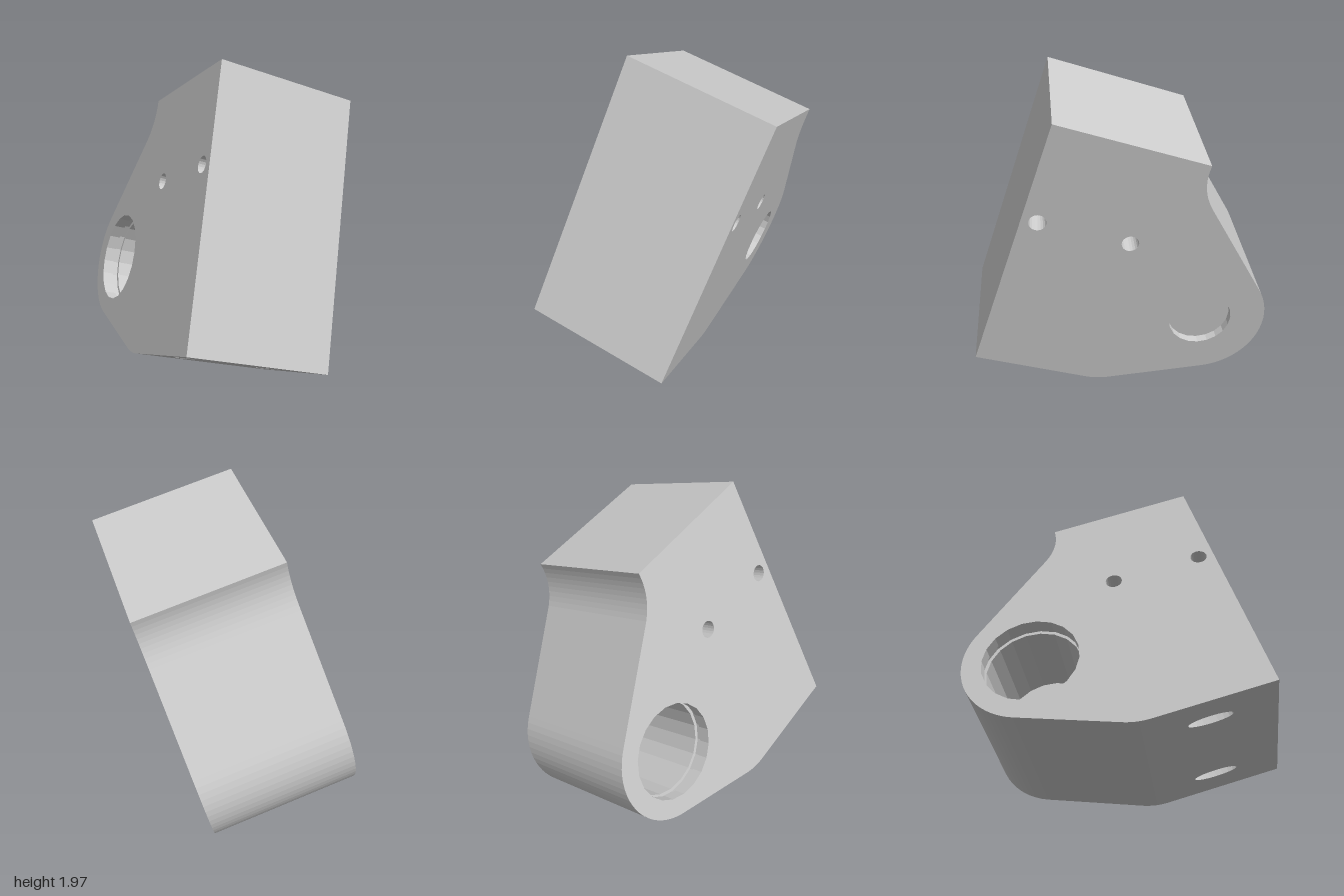
import * as THREE from 'three';

const W = 0.893;   // thickness of the block
const H = 1.645;   // height of the front face
const FOOT = 0.70; // depth of the flat bottom face
const BORE = [1.236, -1.012];
const PINS = [[0.093, -0.594], [0.635, -0.594]];

const material = new THREE.MeshStandardMaterial({
  color: 0xcccccc, flatShading: true, side: THREE.DoubleSide,
});

function circle([x, y], rx, ry = rx) {
  return new THREE.Path().absellipse(x, y, rx, ry, 0, Math.PI * 2, false, 0);
}

// Side outline: x runs backwards, y runs up from the top front edge
function outline() {
  const s = new THREE.Shape();
  s.moveTo(FOOT, -H);
  s.quadraticCurveTo(0.78, -H, 0.855, -1.612);
  s.absarc(BORE[0], BORE[1], 0.4, -1.147, 0.853, false);
  s.lineTo(1.011, -0.266);
  s.quadraticCurveTo(0.887, -0.158, 0.887, 0);
  s.lineTo(0, 0);
  s.lineTo(0, -H);
  return s;
}

// Flat side with round openings
function sideFace(boreRadius) {
  const s = outline();
  s.holes.push(circle(BORE, boreRadius), ...PINS.map((p) => circle(p, 0.05)));
  return new THREE.ShapeGeometry(s, 10);
}

// Strip of quads swept across the thickness
function outerWall() {
  const pts = outline().getPoints(10);
  const pos = [];
  for (let i = 0; i + 1 < pts.length; i++) {
    const a = pts[i], b = pts[i + 1];
    if (a.distanceTo(b) < 1e-5) continue;
    pos.push(a.x, a.y, 0, b.x, b.y, 0, b.x, b.y, W);
    pos.push(a.x, a.y, 0, b.x, b.y, W, a.x, a.y, W);
  }
  const g = new THREE.BufferGeometry();
  g.setAttribute('position', new THREE.Float32BufferAttribute(pos, 3));
  g.computeVertexNormals();
  return g;
}

// Turned cavity from [radius, offset] pairs, with its axis across the block
function cavity(profile, [x, y]) {
  const g = new THREE.LatheGeometry(profile.map(([r, s]) => new THREE.Vector2(r, s)), 20);
  return g.rotateX(Math.PI / 2).translate(x, y, 0);
}

export function createModel() {
  const body = new THREE.Group();
  body.name = 'block';
  const add = (name, geometry) => {
    const mesh = new THREE.Mesh(geometry, material);
    mesh.name = name;
    body.add(mesh);
    return mesh;
  };

  add('outerWall', outerWall());
  add('boreSide', sideFace(0.285));
  add('pocketSide', sideFace(0.19)).position.z = W;

  // Bearing bore with a retaining groove, and the shallow pocket opposite
  add('bore', cavity([
    [0.285, 0], [0.285, 0.07], [0.305, 0.07], [0.305, 0.11],
    [0.285, 0.11], [0.285, 0.6], [0, 0.6],
  ], BORE));
  add('pocket', cavity([[0.19, W], [0.19, W - 0.05], [0, W - 0.05]], BORE));

  // Cross holes
  for (const p of PINS) add('pinHole', cavity([[0.05, 0], [0.05, W]], p));

  // Bottom face with two slim recesses
  const bottom = new THREE.Shape([[0, 0], [FOOT, 0], [FOOT, W], [0, W]]
    .map(([x, y]) => new THREE.Vector2(x, y)));
  for (const s of [0.17, 0.725]) {
    bottom.holes.push(circle([0.385, s], 0.13, 0.035));
    const slot = new THREE.LatheGeometry(
      [[1, 0], [1, 0.06], [0, 0.06]].map(([r, y]) => new THREE.Vector2(r, y)), 20);
    add('bottomRecess', slot.scale(0.13, 1, 0.035).translate(0.385, -H, s));
  }
  add('bottomFace', new THREE.ShapeGeometry(bottom, 10).rotateX(Math.PI / 2))
    .position.y = -H;

  // Tilted pose of the whole block
  const across = new THREE.Vector3(0.885, -0.269, -0.381).normalize();
  const up = new THREE.Vector3(0.122, 0.918, -0.377);
  const back = new THREE.Vector3().crossVectors(up, across).normalize();
  up.crossVectors(across, back);
  body.quaternion.setFromRotationMatrix(new THREE.Matrix4().makeBasis(back, up, across));
  body.position.set(0.035, 1.98, 0.38);

  const model = new THREE.Group();
  model.name = 'bearingBlock';
  model.add(body);
  return model;
}
